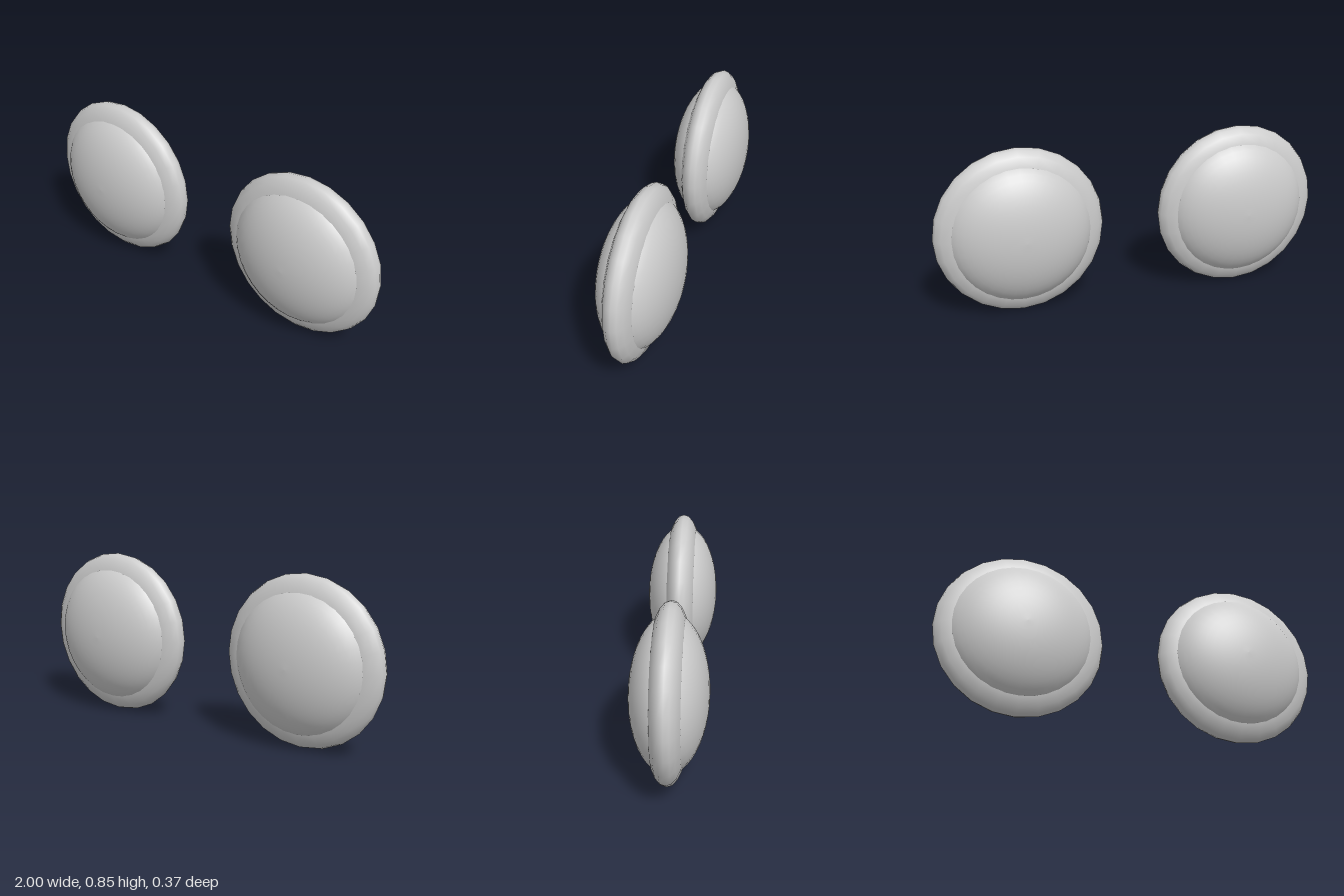
import * as THREE from 'three';

const material = new THREE.MeshStandardMaterial({ color: 0xcccccc });

// Points of an elliptical arc in the (radius, depth) plane
function arc(centre, radial, depth, from, to, steps) {
  return Array.from({ length: steps + 1 }, (_, i) => {
    const t = from + ((to - from) * i) / steps;
    return new THREE.Vector2(Math.max(0, centre + radial * Math.cos(t)), depth * Math.sin(t));
  });
}

// Spin a profile round the z axis
function turned(name, profile, segments) {
  const geometry = new THREE.LatheGeometry(profile, segments);
  geometry.rotateX(Math.PI / 2);
  const mesh = new THREE.Mesh(geometry, material);
  mesh.name = name;
  return mesh;
}

// One lens-shaped disc: a domed body with a rounded rim around it
function makeDisc(name) {
  const disc = new THREE.Group();
  disc.name = name;
  disc.add(turned('domedBody', arc(0, 0.37, 0.187, -Math.PI / 2, Math.PI / 2, 24), 32));
  disc.add(turned('rim', arc(0.247, 0.18, 0.083, -Math.PI, Math.PI, 20), 24));
  return disc;
}

export function createModel() {
  const model = new THREE.Group();
  model.name = 'discPair';
  for (const [name, side] of [['leftDisc', 1], ['rightDisc', -1]]) {
    const disc = makeDisc(name);
    disc.position.set(side * 0.574, 0.428, 0);
    model.add(disc);
  }
  return model;
}
